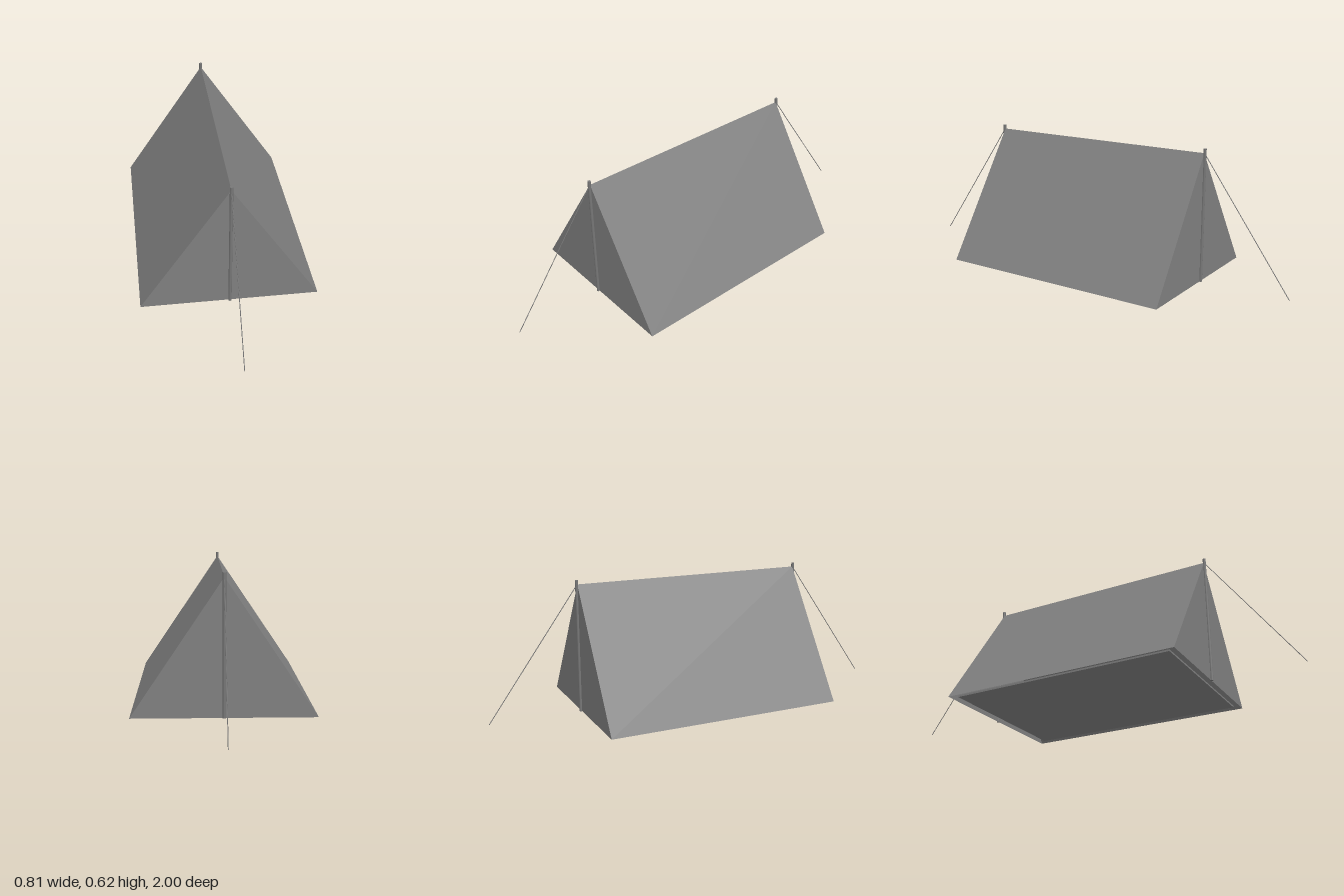
import * as THREE from 'three';

const HALF_W = 0.403, HEIGHT = 0.6, HALF_L = 0.57;

// open surface from a list of corners, fan triangulated
function panel(name, corners, material) {
  const positions = [];
  for (let i = 1; i < corners.length - 1; i++) {
    positions.push(...corners[0], ...corners[i], ...corners[i + 1]);
  }
  const geometry = new THREE.BufferGeometry();
  geometry.setAttribute('position', new THREE.Float32BufferAttribute(positions, 3));
  geometry.computeVertexNormals();
  const mesh = new THREE.Mesh(geometry, material);
  mesh.name = name;
  return mesh;
}

export function createModel() {
  const canvas = new THREE.MeshStandardMaterial({ color: 0x808080, side: THREE.DoubleSide });
  canvas.name = 'grey canvas';
  const frame = new THREE.MeshStandardMaterial({ color: 0x787878 });
  frame.name = 'grey frame';

  const tent = new THREE.Group();
  tent.name = 'tent';

  // sloping roof sides, wound to face outwards
  for (const s of [1, -1]) {
    tent.add(panel(s > 0 ? 'leftRoof' : 'rightRoof', [
      [s * HALF_W, 0, s * HALF_L],
      [s * HALF_W, 0, -s * HALF_L],
      [0, HEIGHT, -s * HALF_L],
      [0, HEIGHT, s * HALF_L],
    ], canvas));
  }

  // groundsheet, a little inside the walls
  const floor = new THREE.Mesh(
    new THREE.BoxGeometry(2 * (HALF_W - 0.03), 0.008, 2 * (HALF_L - 0.034)), canvas);
  floor.name = 'groundsheet';
  floor.position.y = 0.006;
  tent.add(floor);

  // both ends: triangular wall, pole and guy rope
  for (const s of [1, -1]) {
    const end = new THREE.Group();
    end.name = s > 0 ? 'frontEnd' : 'backEnd';

    end.add(panel('endWall', [
      [-s * HALF_W, 0, s * HALF_L],
      [s * HALF_W, 0, s * HALF_L],
      [0, HEIGHT, s * HALF_L],
    ], canvas));

    const pole = new THREE.Mesh(new THREE.CylinderGeometry(0.0075, 0.0075, 0.62, 8), frame);
    pole.name = 'pole';
    pole.position.set(0, 0.31, s * 0.573);
    end.add(pole);

    const path = new THREE.LineCurve3(
      new THREE.Vector3(0, 0.597, s * 0.573), new THREE.Vector3(0, 0.001, s * 0.999));
    const rope = new THREE.Mesh(new THREE.TubeGeometry(path, 1, 0.0018, 6), frame);
    rope.name = 'guyRope';
    end.add(rope);

    tent.add(end);
  }
  return tent;
}
